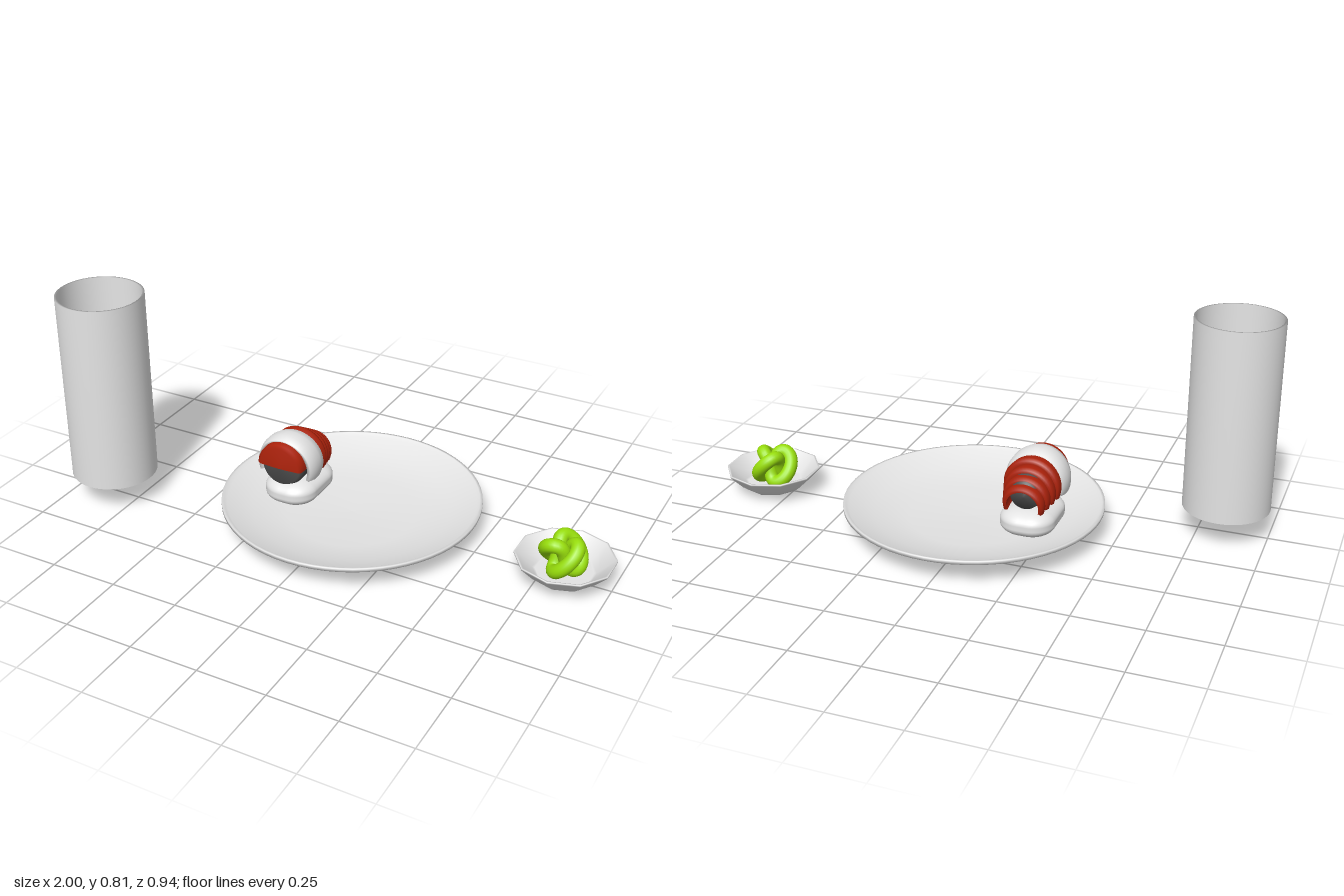
import * as THREE from 'three';
import { RoundedBoxGeometry } from 'three/addons/geometries/RoundedBoxGeometry.js';

const mat = (name, color, side = THREE.FrontSide) =>
  Object.assign(new THREE.MeshStandardMaterial({ color, side }), { name });

const porcelain = mat('porcelain white', 0xe4e4e4, THREE.DoubleSide);
const red = mat('shell red', 0xac220b, THREE.DoubleSide);
const dark = mat('dark grey', 0x4c4c4c);
const green = mat('bright green', 0x98de0c);

const pts = (list) => list.map(([r, h]) => new THREE.Vector2(r, h));

function add(parent, name, geometry, material, x = 0, y = 0, z = 0) {
  const mesh = new THREE.Mesh(geometry, material);
  mesh.name = name;
  mesh.position.set(x, y, z);
  parent.add(mesh);
  return mesh;
}

// Arched piece around the z axis, open underneath; profile is [radius, z]
function arch(profile, angle, sweep = 0) {
  const g = new THREE.LatheGeometry(pts(profile), 28, Math.PI - angle / 2, angle);
  g.rotateX(Math.PI / 2);
  const p = g.attributes.position;
  for (let i = 0; i < p.count; i++) {
    const a = Math.atan2(p.getX(i), p.getY(i));
    p.setZ(i, p.getZ(i) - sweep * Math.sin(a) ** 2);
  }
  g.computeVertexNormals();
  return g;
}

// Trefoil path lying flat, with one lobe towards -x
class KnotCurve extends THREE.Curve {
  getPoint(t, target = new THREE.Vector3()) {
    const u = t * Math.PI * 2;
    const r = 0.043 + 0.022 * Math.cos(3 * u);
    const a = 2 * u + Math.PI;
    return target.set(r * Math.cos(a), 0.048 * Math.sin(3 * u), -r * Math.sin(a));
  }
}

export function createModel() {
  const model = new THREE.Group();
  model.name = 'sushiSet';

  // Dished round plate
  add(model, 'plate', new THREE.LatheGeometry(pts([
    [0, 0], [0.235, 0], [0.47, 0.084], [0.47, 0.097], [0.46, 0.097], [0.45, 0.086],
    [0.36, 0.056], [0.235, 0.03], [0, 0.026],
  ]), 64), porcelain, 0.017);

  // Tall hollow cup
  add(model, 'cup', new THREE.LatheGeometry(pts([
    [0, 0.1], [0.15, 0.1], [0.156, 0.103], [0.156, 0.805], [0.148, 0.805],
    [0.148, 0.115], [0.14, 0.113], [0, 0.113],
  ]), 48), porcelain, -0.844, 0, 0.254);

  // Ten-sided dip bowl
  add(model, 'dipBowl', new THREE.LatheGeometry(pts([
    [0, 0.017], [0.105, 0.017], [0.13, 0.036], [0.175, 0.084], [0.175, 0.09], [0.168, 0.09],
    [0.11, 0.034], [0.1, 0.03], [0, 0.03],
  ]), 10), porcelain, 0.83);

  // Knotted green paste
  add(model, 'greenKnot', new THREE.TubeGeometry(new KnotCurve(), 140, 0.0255, 16, true),
    green, 0.825, 0.095, 0);

  const sushi = new THREE.Group();
  sushi.name = 'sushi';
  sushi.position.x = -0.21;
  model.add(sushi);

  // Rice pad
  const rice = new RoundedBoxGeometry(0.2, 0.2, 0.27, 6, 0.085);
  rice.scale(1, 0.5, 1);
  add(sushi, 'rice', rice, porcelain, 0, 0.085, -0.015);

  // Dark body core
  const core = new THREE.LatheGeometry(pts([
    [0, -0.12], [0.052, -0.112], [0.066, -0.07], [0.08, 0.03], [0.085, 0.085], [0.076, 0.112], [0, 0.126],
  ]), 32);
  core.rotateX(Math.PI / 2);
  add(sushi, 'core', core, dark, 0, 0.207, 0).rotation.x = -0.1;

  // Red front cap over the upper half of the core
  add(sushi, 'frontCap', arch([
    [0.086, 0.05], [0.09, 0.095], [0.088, 0.123], [0.078, 0.131], [0, 0.135],
  ], Math.PI), red, 0, 0.212, 0);

  // White band
  add(sushi, 'whiteBand', arch([
    [0.094, 0.002], [0.106, 0.002], [0.115, 0.035], [0.115, 0.07], [0.106, 0.1], [0.094, 0.1], [0.094, 0.002],
  ], 3.85, 0.008), porcelain, 0, 0.2, 0);

  // Overlapping red shell segments tapering to the tail
  for (let i = 0; i < 4; i++) {
    const r = 0.105 - 0.0095 * i;
    add(sushi, 'shellSegment' + (i + 1), arch([
      [r - 0.018, -0.026], [r - 0.006, -0.026], [r, -0.012], [r - 0.006, 0.026], [r - 0.018, 0.026], [r - 0.018, -0.026],
    ], 3.85, 0.006), red, 0, 0.2 - 0.01 * i, -0.008 - 0.031 * i).rotation.x = -0.06 - 0.06 * i;
  }

  return model;
}
